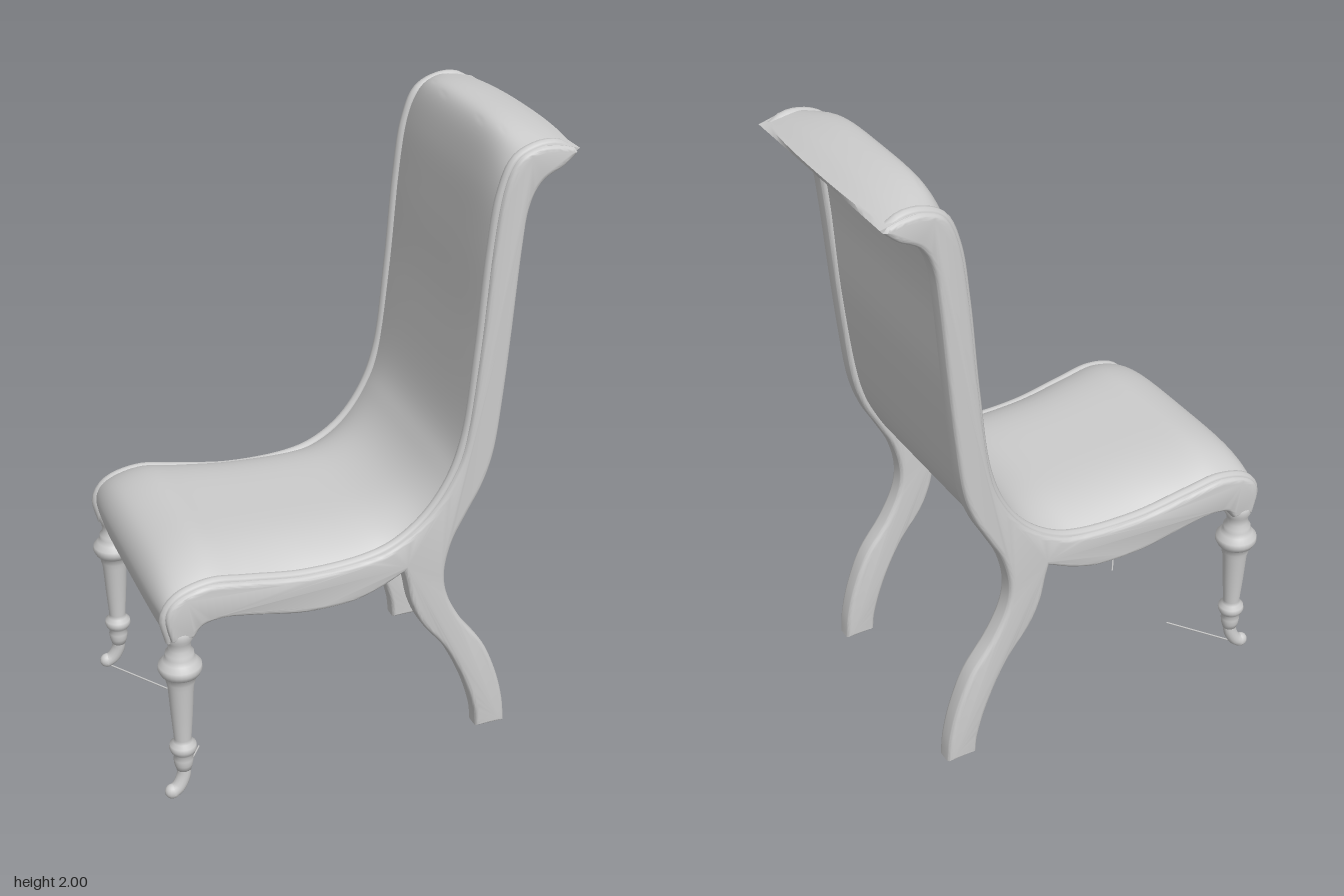
import * as THREE from 'three';
import { toCreasedNormals } from 'three/addons/utils/BufferGeometryUtils.js';

const V2 = (p) => new THREE.Vector2(p[0], p[1]);
const { smoothstep, lerp } = THREE.MathUtils;
const material = new THREE.MeshStandardMaterial({ color: 0xcccccc, side: THREE.DoubleSide });

// Seam between wooden frame and upholstery, from seat front to crest
const SEAM = [
  [-0.622, 0.575], [-0.637, 0.66], [-0.6, 0.715], [-0.5, 0.745], [-0.38, 0.73], [-0.2, 0.705],
  [0, 0.712], [0.1, 0.74], [0.2, 0.81], [0.28, 0.92], [0.33, 1.06], [0.365, 1.35],
  [0.39, 1.65], [0.415, 1.83], [0.455, 1.925], [0.52, 1.957], [0.58, 1.957], [0.63, 1.945],
];
// Highest line of the upholstery along the middle, matching the seam point by point
const CROWN = [
  [-0.63, 0.575], [-0.655, 0.68], [-0.61, 0.765], [-0.5, 0.806], [-0.38, 0.793], [-0.2, 0.782],
  [-0.02, 0.778], [0.1, 0.797], [0.2, 0.85], [0.275, 0.94], [0.328, 1.07], [0.363, 1.35],
  [0.386, 1.65], [0.406, 1.85], [0.44, 1.97], [0.5, 2.0], [0.585, 1.985], [0.655, 1.955],
];
// Underside of seat and rear of back, matching the seam point by point
const UNDER = [
  [-0.585, 0.57], [-0.57, 0.587], [-0.54, 0.607], [-0.45, 0.63], [-0.36, 0.618], [-0.2, 0.592],
  [0, 0.602], [0.13, 0.66], [0.26, 0.745], [0.345, 0.865], [0.405, 1.03], [0.445, 1.35],
  [0.466, 1.65], [0.485, 1.8], [0.52, 1.868], [0.56, 1.898], [0.605, 1.918], [0.65, 1.94],
];
const [seam, crown, underside] = [SEAM, CROWN, UNDER].map((c) => new THREE.SplineCurve(c.map(V2)));

// The seat widens toward its front
const flare = (x) => 0.031 * Math.max(0, (0.2 - x) / 0.82);

function add(parent, name, geometry) {
  const mesh = new THREE.Mesh(geometry, material);
  mesh.name = name;
  parent.add(mesh);
  return mesh;
}

// Padded seat and back: one shell swept along the seam
function upholstery() {
  const U = 120, N = 24, M = 2 * (N + 1);
  const pos = [], idx = [];
  for (let i = 0; i <= U; i++) {
    const t = i / U;
    const s = seam.getPoint(t), c = crown.getPoint(t), under = underside.getPoint(t);
    const crest = smoothstep(t, 0.8, 0.92);
    const w = 0.355 + flare(s.x) - 0.018 * smoothstep(t, 0.3, 0.45) + 0.036 * crest;
    for (let j = 0; j <= N; j++) {
      const v = -Math.cos((j / N) * Math.PI);
      const p = s.clone().lerp(c, 1 - Math.pow(Math.abs(v), lerp(4.5, 2.4, crest)));
      pos.push(p.x, p.y, w * v);
    }
    for (let j = N; j >= 0; j--) pos.push(under.x, under.y, -w * Math.cos((j / N) * Math.PI));
  }
  for (let i = 0; i < U; i++) {
    for (let j = 0; j < M; j++) {
      const a = i * M + j, b = i * M + ((j + 1) % M);
      idx.push(a, b, a + M, b, b + M, a + M);
    }
  }
  // End caps
  for (let j = 0; j < N; j++) {
    const a = j, b = j + 1, c = M - 1 - j, d = M - 2 - j, e = U * M;
    idx.push(a, c, b, b, c, d, e + a, e + b, e + c, e + b, e + d, e + c);
  }
  const g = new THREE.BufferGeometry();
  g.setAttribute('position', new THREE.Float32BufferAttribute(pos, 3));
  g.setIndex(idx);
  return toCreasedNormals(g, 0.8);
}

// Seat rail, back stile and rear leg cut as one board
function sideFrame() {
  const shape = new THREE.Shape();
  shape.moveTo(...SEAM[0]);
  shape.splineThru(SEAM.slice(1).map(V2));
  shape.lineTo(0.642, 1.93);
  shape.splineThru([
    [0.6, 1.893], [0.535, 1.855], [0.497, 1.78], [0.48, 1.65], [0.46, 1.4], [0.442, 1.2], [0.42, 1.02],
    [0.385, 0.905], [0.335, 0.81], [0.29, 0.72], [0.268, 0.62], [0.28, 0.53], [0.33, 0.43],
    [0.41, 0.32], [0.46, 0.2], [0.487, 0.09], [0.495, 0.005],
  ].map(V2));
  shape.lineTo(0.395, 0.005);
  shape.splineThru([
    [0.385, 0.08], [0.345, 0.2], [0.28, 0.33], [0.2, 0.435], [0.16, 0.52], [0.142, 0.6], [0.13, 0.645],
  ].map(V2));
  shape.splineThru([
    [0.05, 0.607], [-0.05, 0.58], [-0.2, 0.58], [-0.35, 0.608], [-0.45, 0.624], [-0.52, 0.615], [-0.55, 0.58],
  ].map(V2));
  shape.closePath();
  const bevel = 0.016;
  const g = new THREE.ExtrudeGeometry(shape, {
    depth: 0.068 - 2 * bevel, curveSegments: 5,
    bevelSize: bevel, bevelThickness: bevel, bevelOffset: -bevel, bevelSegments: 5,
  });
  g.translate(0, 0, 0.317 + bevel);
  const p = g.attributes.position;
  for (let i = 0; i < p.count; i++) p.setZ(i, p.getZ(i) + flare(p.getX(i)));
  return toCreasedNormals(g, 0.6);
}

// Rounded moulding along the seam, its end sunk into the crest
function seamBead() {
  const pts = [...SEAM.slice(0, -1), [0.62, 1.935]]
    .map(([x, y]) => new THREE.Vector3(x + 0.003, y - 0.004, 0.354 + flare(x)));
  return new THREE.TubeGeometry(new THREE.CatmullRomCurve3(pts), 120, 0.017, 10);
}

// Turned front leg
function turnedLeg() {
  const profile = [
    [0.001, 0.605], [0.036, 0.605], [0.043, 0.595], [0.044, 0.575], [0.036, 0.56], [0.034, 0.535], [0.044, 0.522],
    [0.044, 0.508], [0.052, 0.495], [0.066, 0.48], [0.068, 0.465], [0.06, 0.448], [0.046, 0.438], [0.045, 0.42],
    [0.04, 0.4], [0.034, 0.3], [0.027, 0.21], [0.03, 0.198], [0.041, 0.188], [0.043, 0.175], [0.038, 0.162],
    [0.028, 0.15], [0.031, 0.135], [0.029, 0.115], [0.023, 0.095], [0.001, 0.08],
  ];
  return new THREE.LatheGeometry(profile.reverse().map(V2), 28);
}

export function createModel() {
  const chair = new THREE.Group();
  chair.name = 'chair';
  add(chair, 'upholsteredSeatAndBack', upholstery());

  const parts = { sideFrame: sideFrame(), seamBead: seamBead(), frontLeg: turnedLeg() };
  const footPath = new THREE.CatmullRomCurve3([
    [-0.59, 0.12, 0.375], [-0.592, 0.075, 0.378], [-0.61, 0.038, 0.382], [-0.632, 0.022, 0.385],
  ].map((p) => new THREE.Vector3(...p)));
  const sliverPath = new THREE.LineCurve3(new THREE.Vector3(-0.63, 0.008, 0.385), new THREE.Vector3(-0.48, 0.008, 0.17));

  for (const s of [1, -1]) {
    const side = new THREE.Group();
    side.name = s > 0 ? 'leftSide' : 'rightSide';
    side.scale.z = s;
    add(side, 'sideFrame', parts.sideFrame);
    add(side, 'seamBead', parts.seamBead);
    add(side, 'frontLeg', parts.frontLeg).position.set(-0.59, 0, 0.375);
    // Curled foot with rounded toe
    add(side, 'frontFoot', new THREE.TubeGeometry(footPath, 16, 0.022, 14));
    const toe = add(side, 'frontToe', new THREE.SphereGeometry(0.024, 16, 12));
    toe.position.set(-0.632, 0.025, 0.385);
    toe.scale.set(1, 1, 0.9);
    // Thin floor strip running inward from the foot
    add(side, 'footStrip', new THREE.TubeGeometry(sliverPath, 1, 0.003, 6));
    chair.add(side);
  }
  return chair;
}
